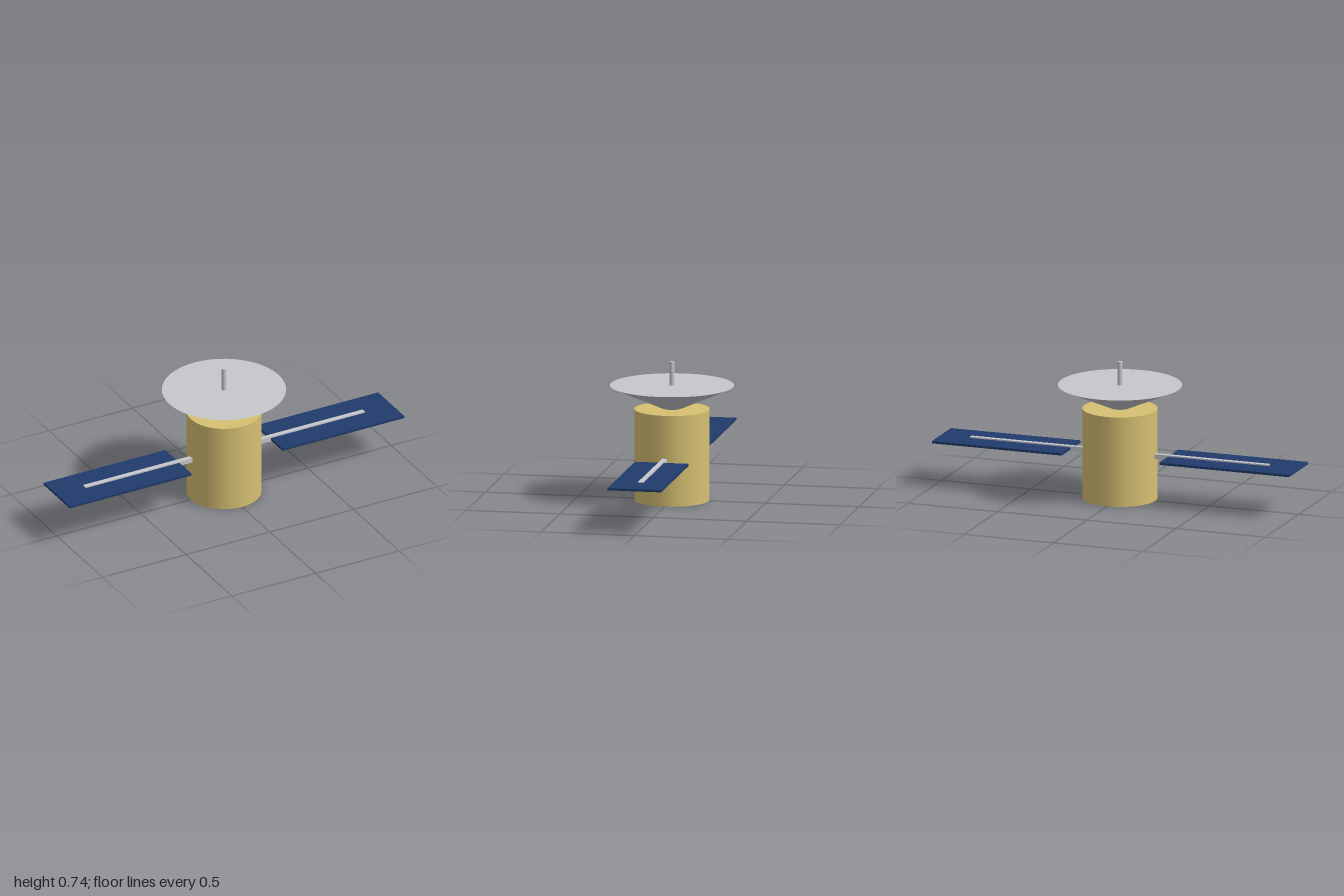
import * as THREE from 'three';

export function createModel() {
  const model = new THREE.Group();
  model.name = 'satellite';

  const material = (name, color) => {
    const m = new THREE.MeshStandardMaterial({ color });
    m.name = name;
    return m;
  };
  const gold = material('gold foil', 0xd6c072);
  const silver = material('silver metal', 0xc6c7cb);
  const blue = material('solar blue', 0x213b6c);

  const add = (name, geometry, mat, x, y, z = 0) => {
    const mesh = new THREE.Mesh(geometry, mat);
    mesh.name = name;
    mesh.position.set(x, y, z);
    model.add(mesh);
    return mesh;
  };
  // Upright cylinder or cone between two heights
  const turned = (name, rTop, rBottom, y0, y1, sides, mat) =>
    add(name, new THREE.CylinderGeometry(rTop, rBottom, y1 - y0, sides), mat, 0, (y0 + y1) / 2);

  // Body, dish with a flat closed face, and feed mast
  turned('body', 0.198, 0.198, 0, 0.485, 32, gold);
  turned('dish', 0.326, 0.052, 0.489, 0.611, 48, silver);
  turned('mast', 0.0125, 0.0125, 0.6, 0.737, 16, silver);

  // Solar wings: a square boom running through each flat panel
  const armY = 0.243;
  for (const [side, s] of [['left', 1], ['right', -1]]) {
    add(side + 'Boom', new THREE.BoxGeometry(0.67, 0.026, 0.026), silver, s * 0.5, armY);
    add(side + 'Panel', new THREE.BoxGeometry(0.727, 0.0125, 0.286), blue, s * 0.6365, armY);
  }
  return model;
}
